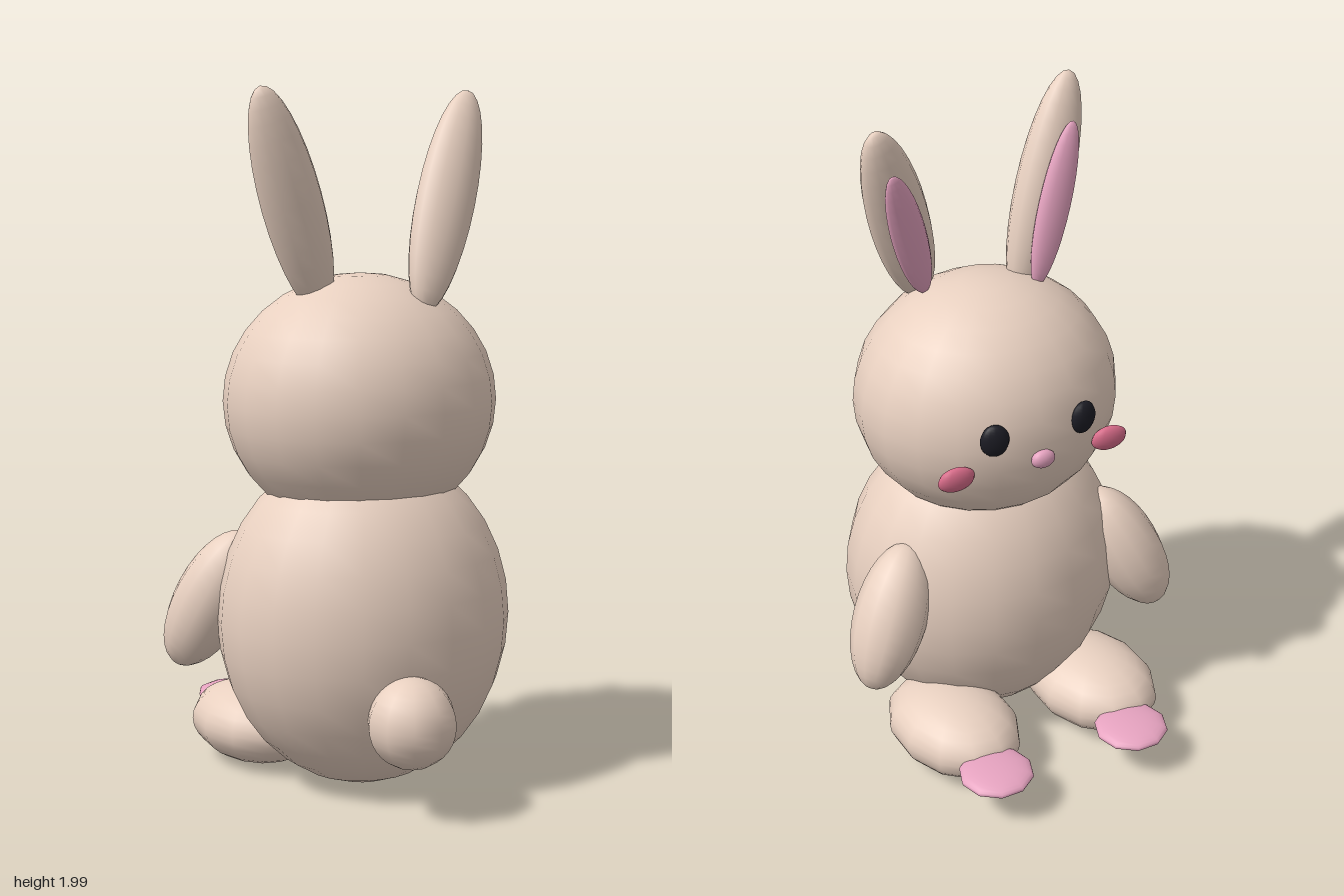
import * as THREE from 'three';

const fur = new THREE.MeshStandardMaterial({ color: 0xe8d0c0 });
const pink = new THREE.MeshStandardMaterial({ color: 0xe6a3c0 });
const blush = new THREE.MeshStandardMaterial({ color: 0xd96c8a });
const black = new THREE.MeshStandardMaterial({ color: 0x1c1c24 });

// Ellipsoid with its long axis along "up" and its flat side turned to "facing"
function blob(name, material, position, radii, { up = [0, 1, 0], facing = [0, 0, 1], sides = 12 } = {}) {
  const mesh = new THREE.Mesh(new THREE.SphereGeometry(1, sides, 16), material);
  mesh.name = name;
  mesh.position.set(...position);
  mesh.scale.set(...radii);
  const y = new THREE.Vector3(...up).normalize();
  const x = new THREE.Vector3().crossVectors(y, new THREE.Vector3(...facing)).normalize();
  const z = new THREE.Vector3().crossVectors(x, y);
  mesh.quaternion.setFromRotationMatrix(new THREE.Matrix4().makeBasis(x, y, z));
  return mesh;
}

export function createModel() {
  const model = new THREE.Group();
  model.name = 'rabbit';

  // The rabbit is built facing +z, then turned to look backwards and a little aside
  const rabbit = new THREE.Group();
  rabbit.name = 'turnedRabbit';
  rabbit.position.set(-0.08, 0, 0.11);
  rabbit.rotation.y = THREE.MathUtils.degToRad(160);
  model.add(rabbit);

  // Body, head, tail and nose
  rabbit.add(
    blob('body', fur, [0, 0.5, 0], [0.426, 0.49, 0.375], { sides: 20 }),
    blob('head', fur, [0, 1.12, 0.03], [0.394, 0.363, 0.357], { sides: 20 }),
    blob('tail', fur, [0, 0.285, -0.385], [0.125, 0.127, 0.125], { sides: 10 }),
    blob('nose', pink, [0, 1.08, 0.39], [0.037, 0.028, 0.02])
  );

  // Paired parts
  for (const s of [1, -1]) {
    const side = s > 0 ? 'left' : 'right';

    // Ears spread outwards, each with a pink inside
    const earUp = [s * 0.107, 0.315, 0.018 - s * 0.073];
    rabbit.add(
      blob(side + 'Ear', fur, [s * 0.227, 1.685, -0.05], [0.09, 0.335, 0.06], { up: earUp }),
      blob(side + 'InnerEar', pink, [s * 0.227, 1.657, 0.018], [0.053, 0.24, 0.025], { up: earUp })
    );

    // Face
    rabbit.add(
      blob(side + 'Eye', black, [s * 0.14, 1.165, 0.365], [0.042, 0.05, 0.022], { facing: [s * 0.25, 0, 1] }),
      blob(side + 'Cheek', blush, [s * 0.244, 1.05, 0.335], [0.057, 0.038, 0.02])
    );

    // Arms hang outwards and forwards
    rabbit.add(
      blob(side + 'Arm', fur, [s * 0.397, 0.535, 0.197], [0.11, 0.226, 0.11], { up: [s * -0.41, 0.88, -0.25] })
    );

    // Feet with flat pink toes
    rabbit.add(
      blob(side + 'Foot', fur, [s * 0.238, 0.13, 0.285], [0.177, 0.12, 0.236], { facing: [0.25, 0, 1] }),
      blob(side + 'Toes', pink, [s * 0.229, 0.142, 0.554], [0.112, 0.028, 0.11], { sides: 10 })
    );
  }
  return model;
}
